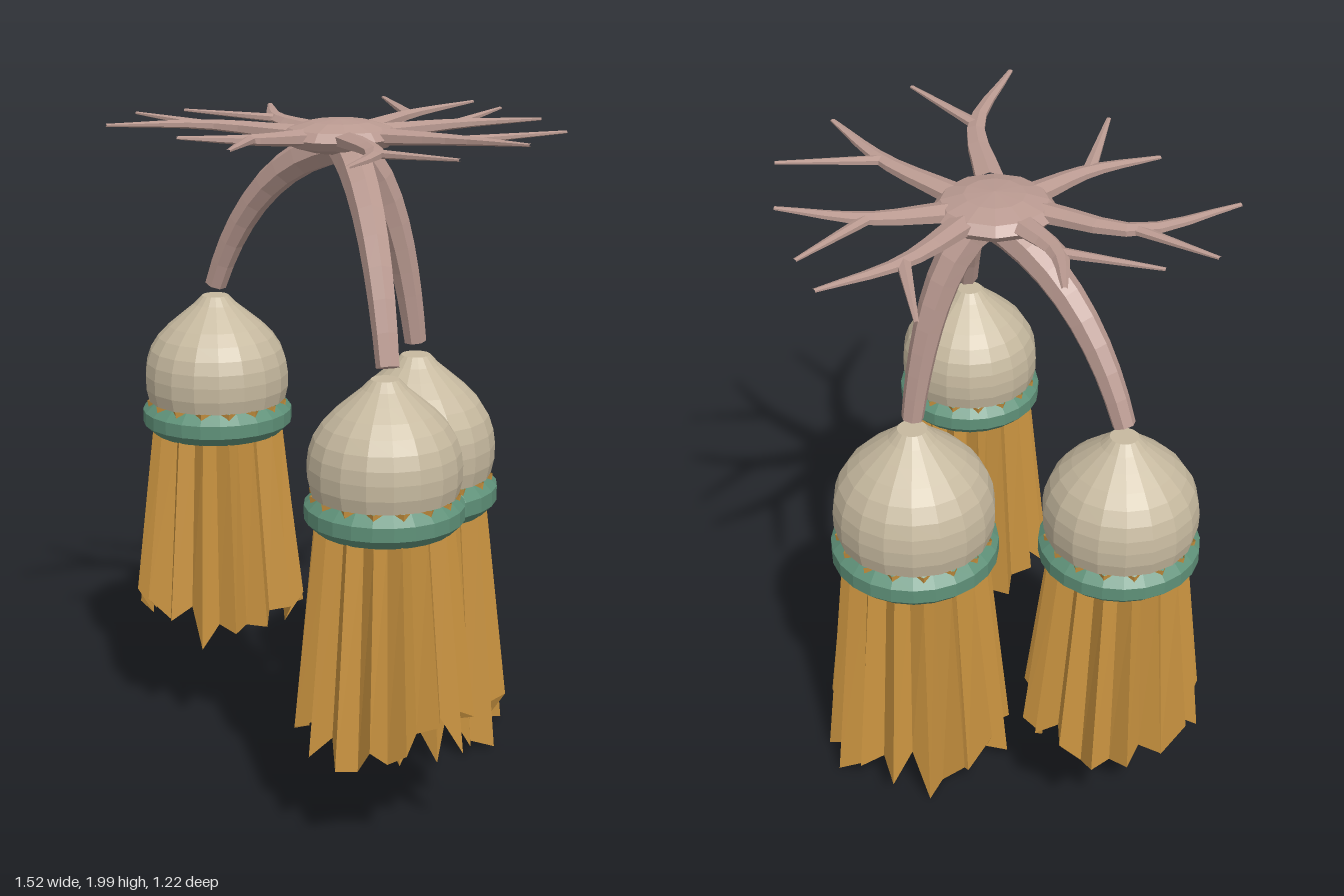
import * as THREE from 'three';

const wood = new THREE.MeshStandardMaterial({ color: 0xba9a91 });
wood.name = 'dusty pink wood';
const shell = new THREE.MeshStandardMaterial({ color: 0xc6b99f });
shell.name = 'pale tan shell';
const band = new THREE.MeshStandardMaterial({ color: 0x5f9179 });
band.name = 'muted green band';
const cloth = new THREE.MeshStandardMaterial({ color: 0xc8923f, side: THREE.DoubleSide });
cloth.name = 'ochre fringe';

let seed = 11;
const random = () => (seed = (seed * 16807) % 2147483647) / 2147483647;
const vec = (x, y, z) => new THREE.Vector3(x, y, z);

// Faceted mesh: unshared vertices with face normals
function facet(name, geometry, material) {
  const g = geometry.index ? geometry.toNonIndexed() : geometry;
  g.computeVertexNormals();
  const mesh = new THREE.Mesh(g, material);
  mesh.name = name;
  return mesh;
}

// Tube narrowing from r0 to r1, optionally flattened in height
function taperedTube(curve, r0, r1, segments, sides, flatten = 1) {
  const g = new THREE.TubeGeometry(curve, segments, 1, sides, false);
  const p = g.attributes.position;
  const v = vec(0, 0, 0);
  for (let i = 0; i < p.count; i++) {
    const t = Math.floor(i / (sides + 1)) / segments;
    const c = curve.getPointAt(t);
    v.fromBufferAttribute(p, i).sub(c).multiplyScalar(r0 + (r1 - r0) * t);
    v.y *= flatten;
    p.setXYZ(i, c.x + v.x, c.y + v.y, c.z + v.z);
  }
  return g;
}

// Pleated skirt: a star-shaped cylinder flaring to a ragged hem
function fringeGeometry() {
  const folds = 32;
  const g = new THREE.CylinderGeometry(1, 1, 1, folds, 2, true);
  const p = g.attributes.position;
  const hem = Array.from({ length: folds }, () => -0.65 - 0.17 * random());
  for (let i = 0; i < p.count; i++) {
    const row = Math.floor(i / (folds + 1));
    const k = (i % (folds + 1)) % folds;
    const inner = k % 2 === 1;
    const radius = [inner ? 0.215 : 0.245, inner ? 0.19 : 0.228, inner ? 0.245 : 0.3][row];
    const y = [0.062, -0.05, hem[k]][row];
    const a = (k / folds) * Math.PI * 2;
    p.setXYZ(i, Math.sin(a) * radius, y, Math.cos(a) * radius);
  }
  return g;
}

// Hanging tassel: onion dome, rounded band and pleated fringe
function tassel(name, x, y, z, width, height) {
  const group = new THREE.Group();
  group.name = name;
  const dome = [[0, 0.06], [0.238, 0.06], [0.248, 0.105], [0.249, 0.155], [0.243, 0.2], [0.228, 0.245],
    [0.2, 0.29], [0.162, 0.33], [0.115, 0.37], [0.073, 0.405], [0.045, 0.435], [0, 0.435]];
  const ring = [];
  for (let i = 0; i <= 8; i++) {
    const a = ((i + 0.5) / 8) * Math.PI * 2;
    ring.push(new THREE.Vector2(0.202 + 0.061 * Math.cos(a), 0.061 * Math.sin(a)));
  }
  group.add(
    facet('dome', new THREE.LatheGeometry(dome.map(q => new THREE.Vector2(...q)), 18), shell),
    facet('band', new THREE.LatheGeometry(ring, 24), band),
    facet('fringe', fringeGeometry(), cloth));
  group.position.set(x, y, z);
  group.scale.set(width, height, width);
  return group;
}

// Drooping arm from the hub to just above a tassel
function arm(name, x, y, z) {
  const group = new THREE.Group();
  group.name = name;
  const start = vec(-0.015, 1.925, 0.03);
  const bend = vec(x * 0.7, 1.85, start.z + (z - start.z) * 0.7);
  const end = vec(x, y, z);
  const curve = new THREE.QuadraticBezierCurve3(start, bend, end);
  group.add(facet('armTube', taperedTube(curve, 0.058, 0.034, 9, 7), wood));
  const cap = facet('armEnd', new THREE.CircleGeometry(0.034, 7), wood);
  cap.position.copy(end);
  cap.lookAt(end.clone().add(curve.getTangentAt(1)));
  group.add(cap);
  return group;
}

// Forked branch given by root, fork, main tip and side tip in plan (x, z)
function branch(index, [root, fork, tip, side]) {
  const group = new THREE.Group();
  group.name = 'branch' + index;
  const at = ([x, z], y) => vec(x, y, z);
  const inner = at([root[0] * 0.8, 0.045 + (root[1] - 0.045) * 0.8], 1.955);
  const main = new THREE.CatmullRomCurve3([inner, at(fork, 1.967), at(tip, 1.983)]);
  const twig = new THREE.LineCurve3(at(fork, 1.967), at(side, 1.981));
  group.add(
    facet('branchStem', taperedTube(main, 0.046, 0.008, 7, 6, 0.55), wood),
    facet('branchTwig', taperedTube(twig, 0.022, 0.007, 2, 6, 0.6), wood));
  return group;
}

export function createModel() {
  const model = new THREE.Group();
  model.name = 'hangingTassels';

  // Flattened hub
  const hub = facet('hub', new THREE.SphereGeometry(1, 12, 6).scale(0.175, 0.05, 0.175), wood);
  hub.position.set(-0.015, 1.95, 0.045);
  model.add(hub);

  // Radiating forked branches
  const branches = [
    [[-0.07, -0.1], [-0.175, -0.33], [-0.21, -0.61], [-0.475, -0.455]],
    [[0.025, -0.12], [0.08, -0.3], [0.235, -0.51], [-0.045, -0.585]],
    [[0.13, -0.035], [0.36, -0.105], [0.63, -0.13], [0.478, -0.393]],
    [[0.15, 0.125], [0.42, 0.24], [0.655, 0.5], [0.715, 0.183]],
    [[-0.012, 0.21], [0.005, 0.37], [-0.053, 0.575], [0.23, 0.584]],
    [[-0.14, 0.165], [-0.343, 0.298], [-0.395, 0.608], [-0.6, 0.388]],
    [[-0.18, 0.057], [-0.335, 0.048], [-0.527, -0.05], [-0.575, 0.233]],
  ];
  branches.forEach((b, i) => model.add(branch(i + 1, b)));

  // Arms and the tassels below them
  model.add(
    arm('rightArm', -0.485, 1.445, 0.19),
    arm('backArm', 0.022, 1.305, -0.21),
    arm('leftArm', 0.505, 1.395, 0.255),
    tassel('rightTassel', -0.49, 1.025, 0.19, 0.914, 0.885),
    tassel('backTassel', 0.025, 0.83, -0.21, 1, 1),
    tassel('leftTassel', 0.492, 0.985, 0.256, 0.875, 0.865));
  return model;
}
